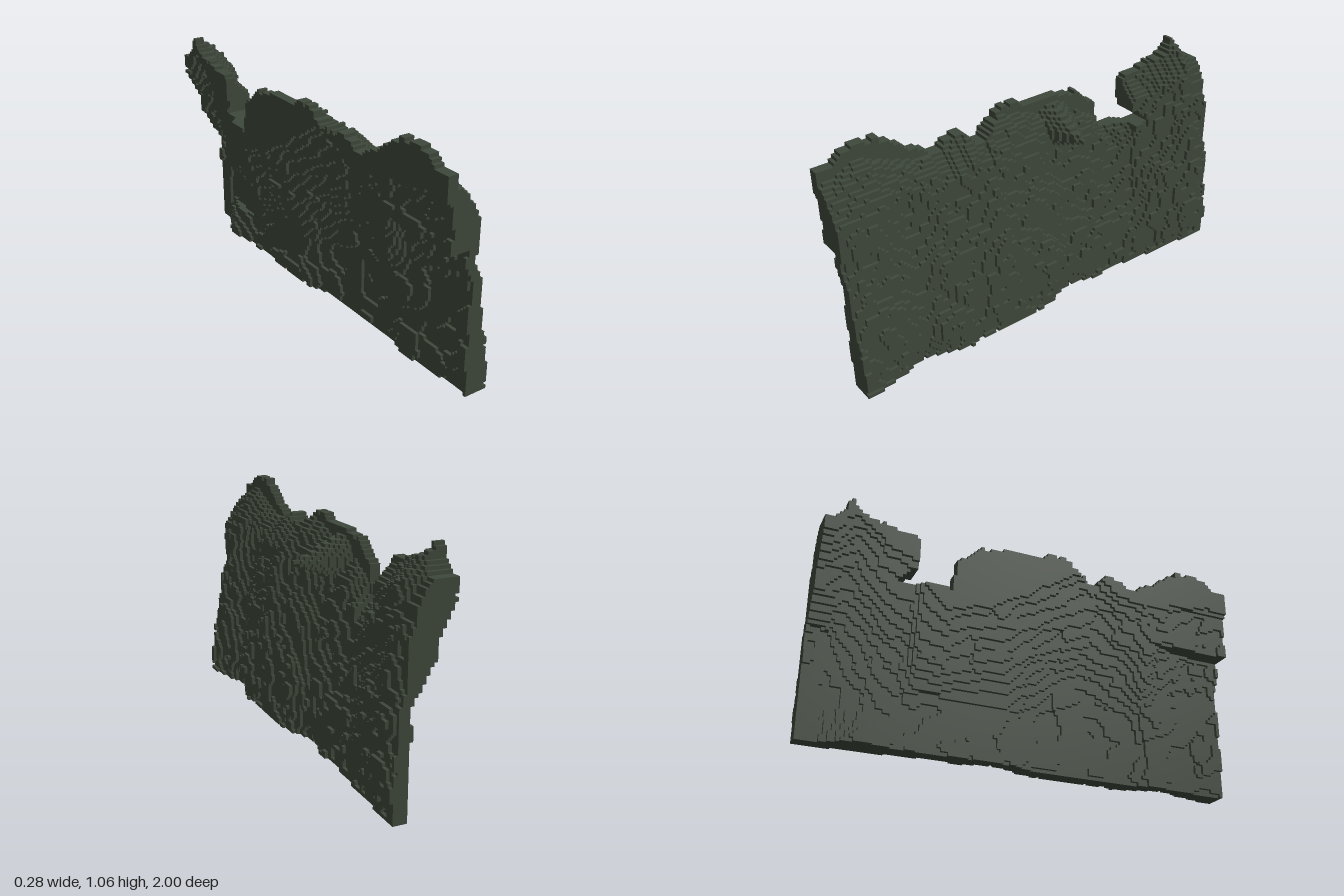
import * as THREE from 'three';

const S = 1 / 64;            // voxel size
const NZ = 128, NY = 68;     // voxels along the wall and upwards

// Piecewise-linear curve through [position, value] pairs
const curve = (pts) => (t) => {
  if (t <= pts[0][0]) return pts[0][1];
  for (let i = 1; i < pts.length; i++) {
    const [t0, v0] = pts[i - 1], [t1, v1] = pts[i];
    if (t <= t1) return v0 + (v1 - v0) * (t - t0) / (t1 - t0);
  }
  return pts[pts.length - 1][1];
};

// Crest height along z, with a narrow ravine near z = -0.5
const crest = curve([[-1, .93], [-.95, .955], [-.91, .98], [-.895, 1.04], [-.88, 1.04], [-.865, 1.0],
  [-.8, .98], [-.72, .945], [-.58, .92], [-.575, .8], [-.57, .72], [-.43, .715], [-.415, .78], [-.4, .86],
  [-.35, .9], [-.29, .95], [-.2, .96], [0, .975], [.04, 1.0], [.12, .995], [.17, .96], [.25, .915],
  [.3, .92], [.34, .945], [.4, .94], [.43, .91], [.5, .91], [.55, .94], [.62, .985], [.7, 1.04],
  [.76, 1.062], [.86, 1.058], [.91, 1.03], [.95, 1.0], [1, .995]]);
// Sideways meander of the wall along z
const meander = curve([[-1, 0], [-.9, .012], [-.7, -.02], [-.5, -.035], [-.3, -.05], [-.15, -.045],
  [0, -.015], [.2, 0], [.5, 0], [.67, -.04], [.8, -.01], [1, 0]]);
// How much lower the wall starts leaning back at each z
const lean = curve([[-1, 0], [-.85, 0], [-.7, .06], [-.58, .1], [-.55, .2], [-.42, .22], [-.3, .13],
  [-.1, .1], [.1, .06], [.25, 0], [.4, .08], [.55, .12], [.7, .06], [.85, .04], [1, .1]]);
// Rock face (+x) and wall thickness over leaned height
const face = curve([[0, .11], [.03, .1], [.1, .108], [.25, .105], [.4, .095], [.5, .08], [.6, .06],
  [.7, .04], [.8, .032], [.9, .02], [1, -.03], [1.06, -.09]]);
const thickness = curve([[0, .075], [.3, .062], [.5, .08], [.7, .1], [.9, .125], [1, .13]]);
// Rear (-x) profiles at the two ends
const rearFrontEnd = curve([[0, .02], [.66, .01], [.68, -.1], [.86, -.115], [.9, -.15]]);
const rearBackEnd = curve([[0, .045], [.48, .045], [.53, .0], [.65, -.055], [.75, -.085], [.9, -.15]]);

// Seeded smooth noise in -1..1
const hash = (x, y) => {
  let h = Math.imul(x + 101, 374761393) ^ Math.imul(y + 57, 668265263);
  h = Math.imul(h ^ (h >>> 13), 1274126177);
  return ((h ^ (h >>> 16)) >>> 0) / 2147483648 - 1;
};
function noise(x, y) {
  const i = Math.floor(x), j = Math.floor(y);
  const f = x - i, g = y - j;
  const s = f * f * (3 - 2 * f), t = g * g * (3 - 2 * g);
  const a = hash(i, j) + (hash(i + 1, j) - hash(i, j)) * s;
  const b = hash(i, j + 1) + (hash(i + 1, j + 1) - hash(i, j + 1)) * s;
  return a + (b - a) * t;
}

// Each (height, length) cell is filled from x index a to b
const EMPTY = [Infinity, Infinity];
function span(j, k) {
  const y = (j + .5) * S, z = -1 + (k + .5) * S;
  const top = crest(z) + .012 * hash(k >> 1, 900);
  const undercut = y > .72 && z < -.56 && z > -.57 - (.8 - y) * 1.2;   // hollow beside the ravine
  if (y > top || undercut) return EMPTY;
  const yl = y + lean(z) * THREE.MathUtils.smoothstep(y, .05, .4);
  const base = face(yl) + meander(z);
  const rough = .014 * noise(z * 7, y * 7) + .011 * noise(z * 15 + 40, y * 15) + .007 * noise(z * 34, y * 34 + 80);
  const round = Math.max(0, .1 - (top - y)) * .5;
  // Jutting stone
  const stone = .14 - 2.2 * Math.hypot(z + .15, y - .835);
  const hi = Math.max(base + rough - round, stone);
  // Rear with a swollen foot near the back
  let lo = base - thickness(yl);
  if (y < .14) lo -= .04 * Math.max(0, 1 - Math.abs(z + .76) / .16);
  lo += (rearFrontEnd(y) - lo) * THREE.MathUtils.smoothstep(z, .58, .72);
  lo += (rearBackEnd(y) - lo) * THREE.MathUtils.smoothstep(-z, .82, .97);
  // Rear is broken into broad flat slabs
  lo += .01 * hash(Math.floor(z * 7 + .4 * noise(z * 9, y * 9)), Math.floor(y * 8 + .4 * noise(y * 9, z * 9)))
    + .009 * noise(z * 9 + 30, y * 9 + 60);
  const b = Math.min(18, Math.max(3, Math.round(hi / S) + 9));
  const a = Math.max(0, Math.min(Math.round(lo / S) + 9, b - 3));
  return [a, b];
}

function wallGeometry() {
  const cells = [];
  for (let j = 0; j < NY; j++) {
    cells.push([]);
    for (let k = 0; k < NZ; k++) cells[j].push(span(j, k));
  }
  const at = (j, k) => (cells[j] && cells[j][k]) || EMPTY;
  const pos = [];
  // Quad from corner p along u then v, facing u x v
  const quad = (p, u, v) => {
    const c = [p, p.map((n, i) => n + u[i]), p.map((n, i) => n + u[i] + v[i]), p.map((n, i) => n + v[i])];
    for (const i of [0, 1, 2, 0, 2, 3]) pos.push((c[i][0] - 9) * S, c[i][1] * S, c[i][2] * S - 1);
  };
  const Y = [0, 1, 0], Z = [0, 0, 1];
  for (let j = 0; j < NY; j++) for (let k = 0; k < NZ; k++) {
    const [a, b] = at(j, k);
    if (a === Infinity) continue;
    quad([b, j, k], Y, Z);
    quad([a, j, k], Z, Y);
    // Ledges and sides, only where the neighbour leaves them bare
    const bare = (n, draw) => {
      for (const [s, e] of [[a, Math.min(b, n[0])], [Math.max(a, n[1]), b]]) if (e > s) draw(s, [e - s, 0, 0]);
    };
    bare(at(j + 1, k), (s, X) => quad([s, j + 1, k], Z, X));
    bare(at(j - 1, k), (s, X) => quad([s, j, k], X, Z));
    bare(at(j, k + 1), (s, X) => quad([s, j, k + 1], X, Y));
    bare(at(j, k - 1), (s, X) => quad([s, j, k], Y, X));
  }
  const g = new THREE.BufferGeometry();
  g.setAttribute('position', new THREE.Float32BufferAttribute(pos, 3));
  g.computeVertexNormals();
  return g;
}

export function createModel() {
  const group = new THREE.Group();
  group.name = 'cliffWall';
  const stone = new THREE.MeshStandardMaterial({ color: 0x3f483b });
  stone.name = 'mossy stone';
  const wall = new THREE.Mesh(wallGeometry(), stone);
  wall.name = 'rockFace';
  group.add(wall);
  return group;
}
